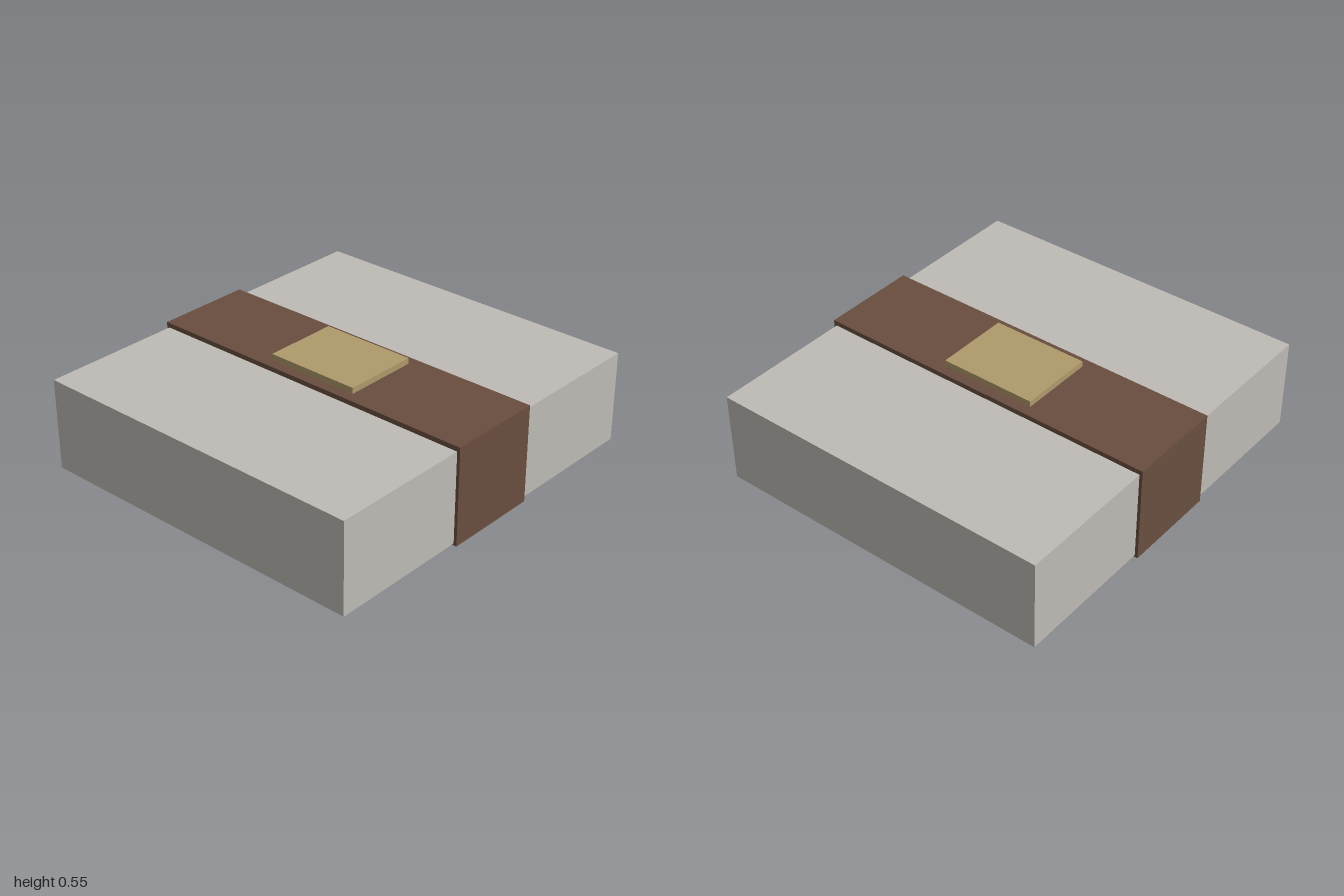
import * as THREE from 'three';

const paint = (name, color) => {
  const material = new THREE.MeshStandardMaterial({ color });
  material.name = name;
  return material;
};

// Box centred on x and z, spanning bottom to top in y
function slab(name, width, depth, bottom, top, material) {
  const mesh = new THREE.Mesh(new THREE.BoxGeometry(width, top - bottom, depth), material);
  mesh.name = name;
  mesh.position.y = (bottom + top) / 2;
  return mesh;
}

export function createModel() {
  const group = new THREE.Group();
  group.name = 'strappedBlock';

  const grey = paint('warm grey', 0xbfbcb6);
  const brown = paint('leather brown', 0x6a4e40);
  const brass = paint('dull brass', 0xaf9a6c);

  // Main block, held just clear of the ground by the band
  group.add(slab('block', 1.826, 2, 0.01, 0.49, grey));
  // Band wrapped all the way round the middle
  group.add(slab('band', 1.858, 0.512, 0, 0.515, brown));
  // Plate on top of the band
  group.add(slab('plate', 0.512, 0.4, 0.505, 0.546, brass));

  return group;
}
